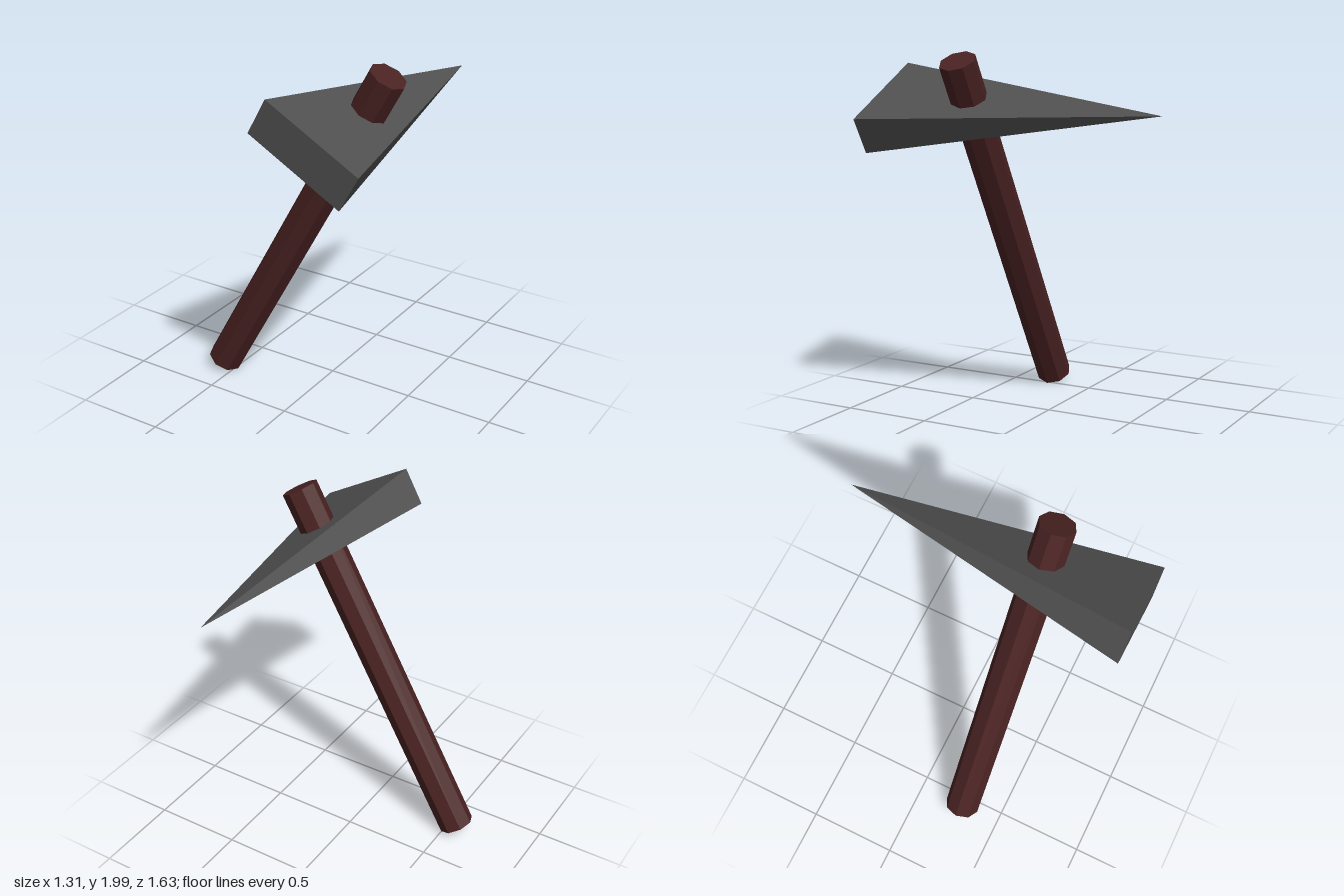
import * as THREE from 'three';

const material = (name, color) => {
  const m = new THREE.MeshStandardMaterial({ color, flatShading: true });
  m.name = name;
  return m;
};

export function createModel() {
  const wood = material('dark red wood', 0x4a2222);
  const iron = material('dark grey iron', 0x505050);

  // Whole tool leans to its left around the handle's centre
  const model = new THREE.Group();
  model.name = 'pickaxe';
  const tool = new THREE.Group();
  tool.name = 'leaningTool';
  tool.position.set(-0.04, 1.0, 0);
  tool.rotation.z = -THREE.MathUtils.degToRad(29.1);
  model.add(tool);

  // Octagonal handle
  const handle = new THREE.Mesh(new THREE.CylinderGeometry(0.1, 0.1, 2.17, 8), wood);
  handle.name = 'handle';
  handle.position.z = 0.27;
  tool.add(handle);

  // Wedge head: a square pyramid pointing to the back, stretched to a flat blade
  const blade = new THREE.ConeGeometry(Math.SQRT1_2, 1.63, 4)
    .rotateY(Math.PI / 4)
    .rotateX(-Math.PI / 2)
    .scale(0.584, 0.214, 1);
  const head = new THREE.Mesh(blade, iron);
  head.name = 'head';
  head.position.y = 0.79;
  tool.add(head);

  return model;
}
